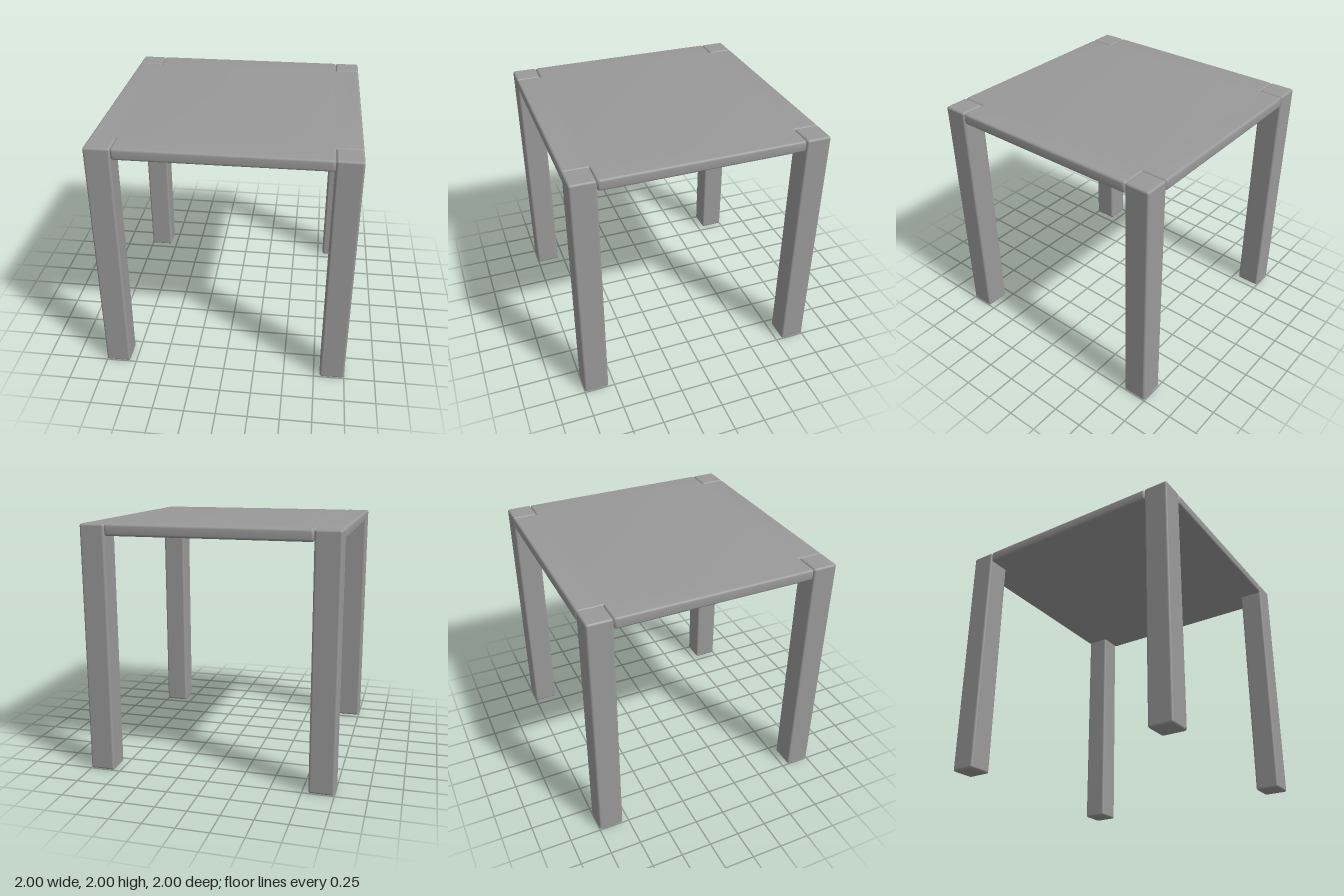
import * as THREE from 'three';
import { RoundedBoxGeometry } from 'three/addons/geometries/RoundedBoxGeometry.js';
import { toCreasedNormals } from 'three/addons/utils/BufferGeometryUtils.js';

const HALF = 1, HEIGHT = 2, LEG = 0.2, THICK = 0.09, BEVEL = 0.018, CORNER = 0.022;

// Cross-shaped slab: a square with its four corners notched out for the legs
function tabletopGeometry() {
  const arm = HALF - LEG;
  const shape = new THREE.Shape();
  for (let k = 0; k < 4; k++) {
    const turn = k * Math.PI / 2;
    const spin = (x, y) => new THREE.Vector2(x, y).rotateAround(new THREE.Vector2(), turn);
    const a = spin(HALF - CORNER, -arm + CORNER);
    const b = spin(HALF - CORNER, arm - CORNER);
    const notch = spin(arm, arm);
    shape.absarc(a.x, a.y, CORNER, turn - Math.PI / 2, turn, false);
    shape.absarc(b.x, b.y, CORNER, turn, turn + Math.PI / 2, false);
    shape.lineTo(notch.x, notch.y);
  }
  const geometry = new THREE.ExtrudeGeometry(shape, {
    depth: THICK - 2 * BEVEL, curveSegments: 4,
    bevelSize: BEVEL, bevelThickness: BEVEL, bevelOffset: -BEVEL, bevelSegments: 4,
  });
  geometry.rotateX(-Math.PI / 2);
  geometry.translate(0, HEIGHT - THICK + BEVEL, 0);
  return toCreasedNormals(geometry, Math.PI / 5);
}

export function createModel() {
  const model = new THREE.Group();
  model.name = 'table';
  const grey = new THREE.MeshStandardMaterial({ color: 0x999999 });
  grey.name = 'grey';

  const top = new THREE.Mesh(tabletopGeometry(), grey);
  top.name = 'tabletop';
  model.add(top);

  // Square legs fill the notched corners and finish flush with the top
  const legGeometry = new RoundedBoxGeometry(LEG, HEIGHT, LEG, 4, BEVEL);
  const offset = HALF - LEG / 2;
  for (const [zName, z] of [['front', 1], ['back', -1]]) {
    for (const [xName, x] of [['Left', 1], ['Right', -1]]) {
      const leg = new THREE.Mesh(legGeometry, grey);
      leg.name = `${zName}${xName}Leg`;
      leg.position.set(x * offset, HEIGHT / 2, z * offset);
      model.add(leg);
    }
  }
  return model;
}
